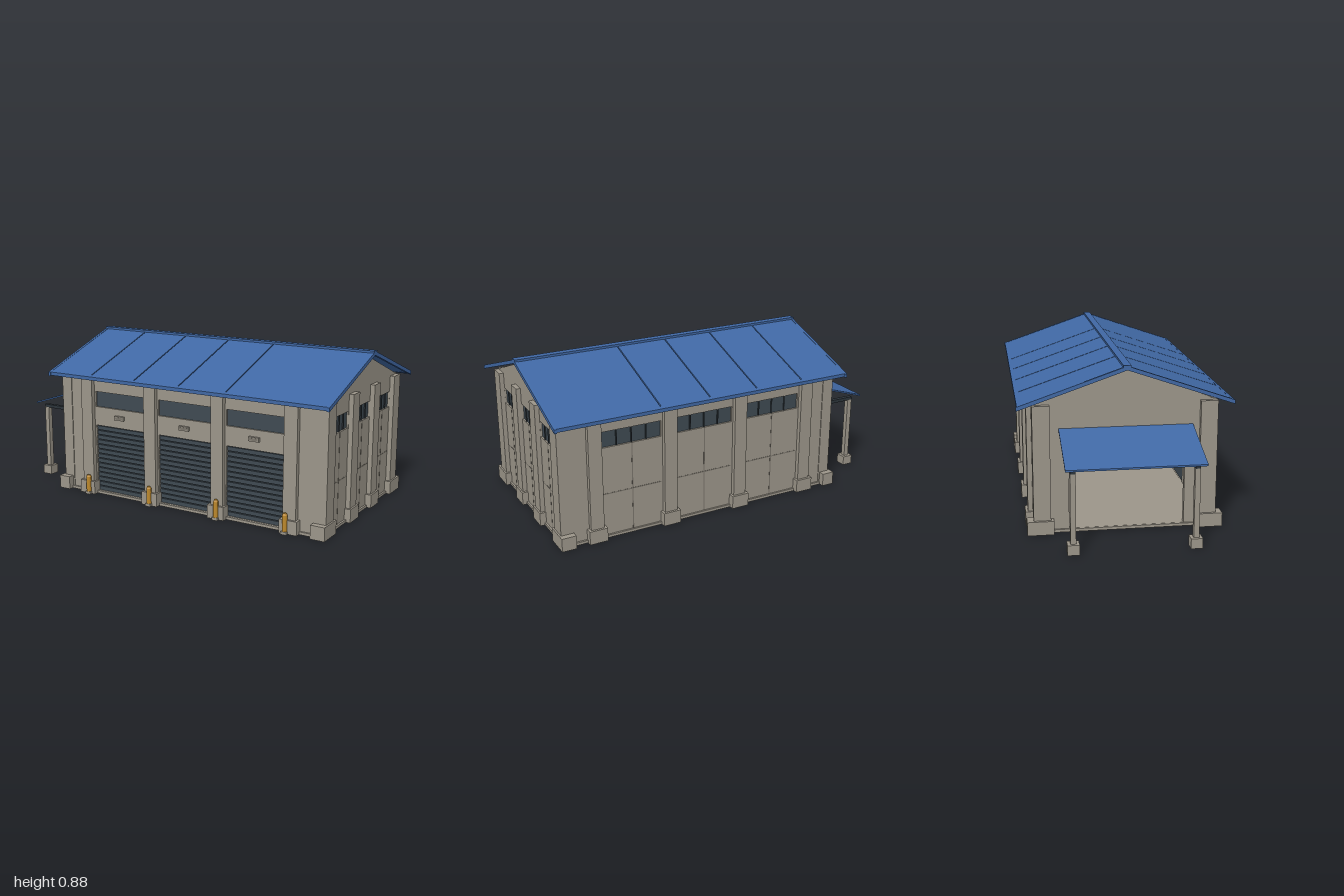
import * as THREE from 'three';

const mat = (name, color) => {
  const m = new THREE.MeshStandardMaterial({ color });
  m.name = name;
  return m;
};

export function createModel() {
  const root = new THREE.Group();
  root.name = 'depot';
  const concrete = mat('concrete', 0x9c968a);
  const groove = mat('panel joint', 0x7a756b);
  const blue = mat('blue roof sheet', 0x4068a4);
  const dark = mat('dark shutter and glass', 0x3f4a52);
  const frame = mat('dark frame', 0x2c343a);
  const yellow = mat('bollard yellow', 0xbf8a2c);

  const add = (geo, m, name, parent = root) => {
    const mesh = new THREE.Mesh(geo, m);
    mesh.name = name;
    parent.add(mesh);
    return mesh;
  };
  // Box given by its limits on each axis
  const box = (x0, x1, y0, y1, z0, z1, m, name, parent) =>
    add(new THREE.BoxGeometry(x1 - x0, y1 - y0, z1 - z0)
      .translate((x0 + x1) / 2, (y0 + y1) / 2, (z0 + z1) / 2), m, name, parent);
  const polygon = (pts) => new THREE.Shape(pts.map(([x, y]) => new THREE.Vector2(x, y)));
  // Extrude an outline with rectangular holes [a0, a1, y0, y1]
  const extrude = (pts, depth, holes = []) => {
    const s = polygon(pts);
    holes.forEach(([a, b, c, d]) => s.holes.push(polygon([[a, c], [a, d], [b, d], [b, c]])));
    return new THREE.ExtrudeGeometry(s, { depth, bevelEnabled: false });
  };
  // Extrude a z-y outline along x, from x0 to x1
  const alongX = (pts, x0, x1, holes) => extrude(pts, x1 - x0, holes).rotateY(-Math.PI / 2).translate(x1, 0, 0);

  const X0 = -0.66, X1 = 0.94, Z = 0.47, T = 0.03;
  const bays = [-0.285, 0.138, 0.56], columnsX = [-0.497, -0.073, 0.349, 0.772];
  const W = 0.166, WY0 = 0.502, WY1 = 0.588;

  box(X0 - 0.01, X1 + 0.01, 0, 0.015, -Z - 0.01, Z + 0.01, concrete, 'floorSlab');

  // Front and back walls
  const rect = [[X0, 0.005], [X1, 0.005], [X1, 0.685], [X0, 0.685]];
  const windowsX = bays.map((c) => [c - W, c + W, WY0, WY1]);
  const doors = bays.map((c) => [c - W, c + W, 0.016, 0.396]);
  add(extrude(rect, T, [...windowsX, ...doors]).translate(0, 0, Z - T), concrete, 'frontWall');
  add(extrude(rect, T, windowsX).translate(0, 0, -Z), concrete, 'backWall');

  // Gable walls; the one under the canopy has an open doorway
  const gable = [[-Z + T, 0.005], [Z - T, 0.005], [Z - T, 0.69], [0, 0.854], [-Z + T, 0.69]];
  const sideBays = [-0.283, 0, 0.283];
  const windowsZ = sideBays.map((c) => [c - 0.101, c + 0.101, WY0, WY1]);
  add(alongX(gable, X1 - T, X1, windowsZ), concrete, 'gableWall');
  add(alongX(gable, X0, X0 + T, [[-0.29, 0.31, 0.016, 0.42]]), concrete, 'doorwayGableWall');

  // Front bays: roller shutters, windows and lamps
  bays.forEach((c) => {
    const bay = new THREE.Group();
    bay.name = 'frontBay';
    root.add(bay);
    box(c - W, c + W, 0.01, 0.398, Z - 0.026, Z - 0.016, dark, 'shutterBack', bay);
    for (let i = 0; i < 14; i++) {
      const y = 0.016 + i * 0.0271;
      box(c - W, c + W, y, y + 0.022, Z - 0.02, Z - 0.009, dark, 'shutterSlat', bay);
    }
    box(c - W, c + W, WY0, WY1, Z - 0.02, Z - 0.01, dark, 'frontWindow', bay);
    box(c - 0.03, c + 0.03, 0.443, 0.466, Z - 0.005, Z + 0.015, concrete, 'doorLamp', bay);
    box(c - 0.024, c + 0.024, 0.448, 0.461, Z + 0.014, Z + 0.016, groove, 'lampFace', bay);
  });

  // Panelled bay, built facing +z and placed on the back and the gable
  const panelBay = (half) => {
    const g = new THREE.Group();
    g.name = 'panelBay';
    box(-half, half, WY0, WY1, -0.02, -0.01, dark, 'window', g);
    for (let i = 1; i < 4; i++) {
      const x = -half + (i * half) / 2;
      box(x - 0.003, x + 0.003, WY0, WY1, -0.011, -0.004, frame, 'mullion', g);
    }
    box(-0.003, 0.003, 0.015, WY0, -0.002, 0.001, groove, 'uprightJoint', g);
    box(-half, half, 0.243, 0.249, -0.002, 0.001, groove, 'levelJoint', g);
    root.add(g);
    return g;
  };
  bays.forEach((c) => {
    const g = panelBay(W);
    g.position.set(c, 0, -Z);
    g.rotation.y = Math.PI;
  });
  sideBays.forEach((c) => {
    const g = panelBay(0.101);
    g.position.set(X1, 0, c);
    g.rotation.y = Math.PI / 2;
  });

  // Columns with footings along front and back
  for (const s of [1, -1]) {
    const zs = (a, b) => (s > 0 ? [a, b] : [-b, -a]);
    columnsX.forEach((c) => {
      box(c - 0.037, c + 0.037, 0, 0.678, ...zs(Z - 0.02, 0.495), concrete, 'wallColumn');
      box(c - 0.05, c + 0.05, 0, 0.073, ...zs(Z - 0.01, 0.508), concrete, 'wallFooting');
    });
    // Corner posts
    for (const [a, b, pa, pb] of [[0.9, 0.965, 0.895, 0.974], [-0.685, -0.62, -0.7, -0.63]]) {
      box(a, b, 0, 0.676, ...zs(0.385, 0.474), concrete, 'cornerColumn');
      box(pa, pb, 0, 0.073, ...zs(0.37, 0.508), concrete, 'cornerFooting');
    }
    // Gable columns
    box(X1 - 0.02, 0.965, 0, 0.676, ...zs(0.1, 0.18), concrete, 'gableColumn');
    box(X1 - 0.02, 0.974, 0, 0.073, ...zs(0.085, 0.193), concrete, 'gableFooting');
  }

  // Bollards
  [-0.485, -0.07, 0.355, 0.757].forEach((x) => {
    add(new THREE.CylinderGeometry(0.014, 0.014, 0.1, 8).translate(x, 0.05, 0.511), yellow, 'bollard');
    add(new THREE.CylinderGeometry(0.009, 0.014, 0.01, 8).translate(x, 0.105, 0.511), yellow, 'bollardCap');
    box(x - 0.016, x + 0.016, 0, 0.015, 0.495, 0.526, concrete, 'bollardBase');
  });

  // Roof sheets with narrow gaps, plus verge, eave and ridge trims
  const cuts = [-0.715, -0.43, -0.145, 0.138, 0.423, 0.995];
  for (const s of [1, -1]) {
    const slope = (z0, y0, z1, y1, t) => [[s * z0, y0 - t], [s * z0, y0], [s * z1, y1], [s * z1, y1 - t]];
    for (let i = 0; i < 5; i++) {
      add(alongX(slope(0, 0.872, 0.54, 0.687, 0.016), cuts[i] + 0.003, cuts[i + 1] - 0.003), blue, 'roofSheet');
    }
    for (const x of [-0.72, 0.985]) {
      add(alongX(slope(0, 0.874, 0.552, 0.684, 0.021), x, x + 0.015), blue, 'vergeTrim');
    }
    add(alongX(slope(0.528, 0.692, 0.548, 0.685, 0.019), -0.718, 0.998), blue, 'eaveTrim');
  }
  box(-0.72, 1, 0.857, 0.877, -0.02, 0.02, blue, 'ridgeCap');

  // Side canopy on two posts
  add(extrude([[-1, 0.434], [-0.655, 0.544], [-0.655, 0.553], [-1, 0.443]], 0.69)
    .translate(0, 0, -0.34), blue, 'canopyRoof');
  for (const z of [-0.3, 0.31]) {
    box(-0.958, -0.93, 0, 0.412, z - 0.014, z + 0.014, concrete, 'canopyPost');
    box(-0.974, -0.914, 0, 0.052, z - 0.03, z + 0.03, concrete, 'canopyFooting');
    box(-0.96, X0, 0.41, 0.428, z - 0.012, z + 0.012, frame, 'canopyBeam');
  }
  return root;
}
